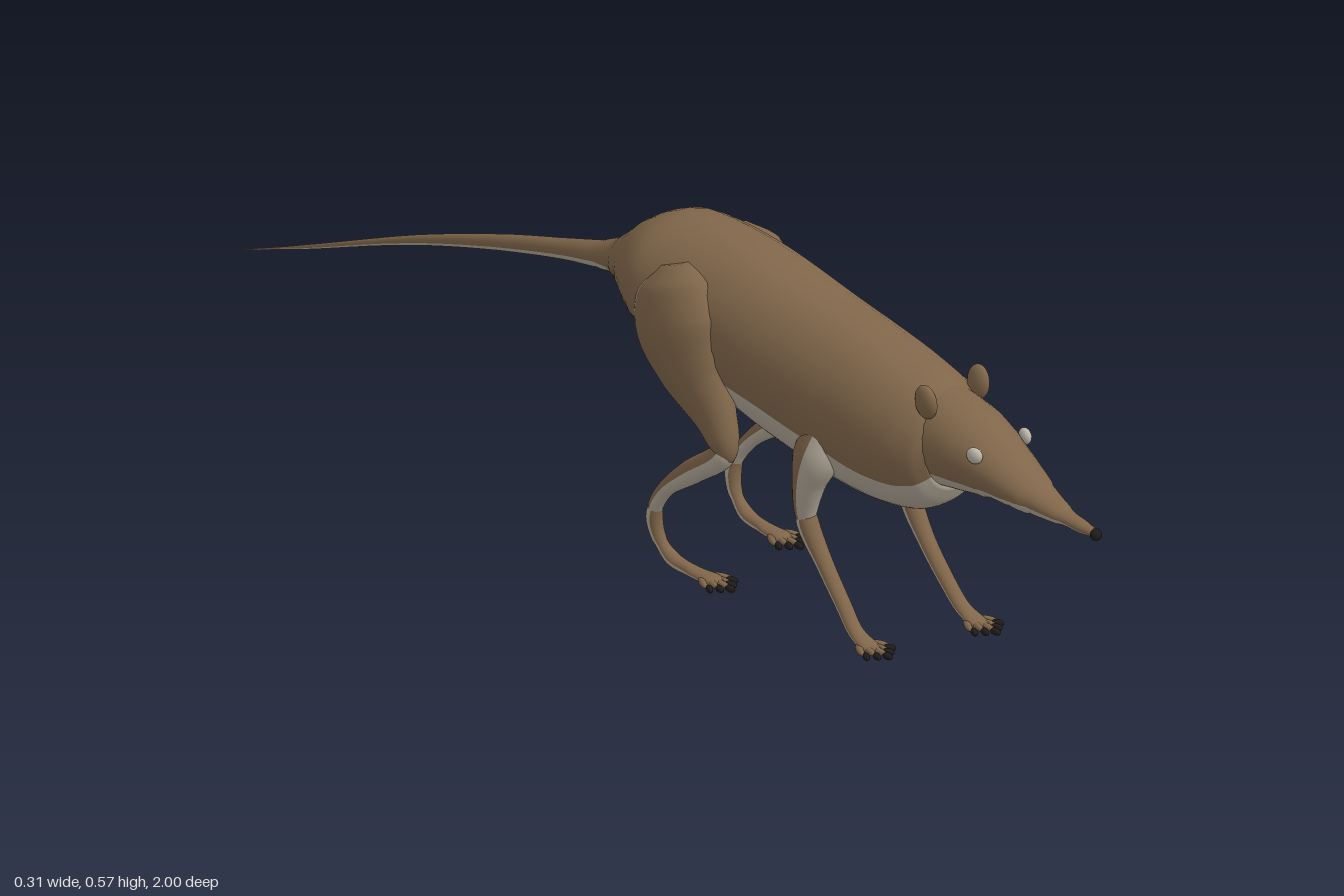
import * as THREE from 'three';

const fur = new THREE.MeshStandardMaterial({ color: 0x80664a });
fur.name = 'brownFur';
const pale = new THREE.MeshStandardMaterial({ color: 0xb3a999 });
pale.name = 'paleUnderside';
const dark = new THREE.MeshStandardMaterial({ color: 0x1f1c1b });
dark.name = 'darkHorn';
const eyeMat = new THREE.MeshStandardMaterial({ color: 0xbdb6ab });
eyeMat.name = 'paleEye';

// Smooth loft through rows [x, y, z, halfWidth, halfDepth, seamAngle].
// Fur covers the arc above the seam angle, the pale colour covers the rest.
function loft(name, rows, { upright = false, flip = false, steps = 5, seg = 14 } = {}) {
  const centre = new THREE.CatmullRomCurve3(rows.map(r => new THREE.Vector3(r[0], r[1], r[2])));
  const size = new THREE.CatmullRomCurve3(rows.map(r => new THREE.Vector3(r[3], r[4], r[5])));
  const n = (rows.length - 1) * steps, ring = seg * 2;
  const pos = [], top = [], under = [];
  for (let i = 0; i <= n; i++) {
    const c = centre.getPoint(i / n), s = size.getPoint(i / n);
    const t = centre.getTangent(i / n);
    const v = upright ? new THREE.Vector3(0, 1, 0) : new THREE.Vector3(0, t.z, -t.y).normalize();
    if (flip) v.negate();
    for (let k = 0; k < ring; k++) {
      const a = k < seg
        ? s.z + (Math.PI - 2 * s.z) * k / seg
        : Math.PI - s.z + (Math.PI + 2 * s.z) * (k - seg) / seg;
      const cs = Math.cos(a) * Math.max(s.x, 0.0005), sn = Math.sin(a) * Math.max(s.y, 0.0005);
      pos.push(c.x + cs, c.y + v.y * sn, c.z + v.z * sn);
    }
  }
  const tri = (list, a, b, c) => flip ? list.push(a, c, b) : list.push(a, b, c);
  for (let i = 0; i < n; i++) for (let k = 0; k < ring; k++) {
    const list = k < seg ? top : under;
    const a = i * ring + k, b = i * ring + (k + 1) % ring;
    tri(list, a, b, b + ring);
    tri(list, a, b + ring, a + ring);
  }
  // end caps
  [0, n].forEach(i => {
    const c = centre.getPoint(i / n), m = pos.length / 3;
    pos.push(c.x, c.y, c.z);
    for (let k = 0; k < ring; k++) {
      const a = i * ring + k, b = i * ring + (k + 1) % ring;
      const list = k < seg ? top : under;
      if (i === 0) tri(list, m, b, a); else tri(list, m, a, b);
    }
  });
  const g = new THREE.BufferGeometry();
  g.setAttribute('position', new THREE.Float32BufferAttribute(pos, 3));
  g.setIndex([...top, ...under]);
  g.addGroup(0, top.length, 0);
  g.addGroup(top.length, under.length, 1);
  g.computeVertexNormals();
  const mesh = new THREE.Mesh(g, [fur, pale]);
  mesh.name = name;
  return mesh;
}

// Profile row [z, top, bottom, halfWidth, seamHeight] to loft row
const section = ([z, top, bot, w, seam]) => {
  const y = (top + bot) / 2, h = (top - bot) / 2;
  return [0, y, z, w, h, Math.asin(THREE.MathUtils.clamp((seam - y) / h, -0.9, 0.9))];
};

function ball(name, mat, x, y, z, rx, ry, rz) {
  const m = new THREE.Mesh(new THREE.SphereGeometry(1, 16, 12), mat);
  m.name = name;
  m.position.set(x, y, z);
  m.scale.set(rx, ry, rz);
  return m;
}

// Fan of toes ending in dark claws
function toes(x, z, count, spread) {
  const g = new THREE.Group();
  g.name = 'toes';
  for (let i = 0; i < count; i++) {
    const f = count > 1 ? i / (count - 1) * 2 - 1 : 0;
    const back = Math.abs(f) * 0.022;
    const toe = ball('toe', fur, x + f * spread * 0.75, 0.011, z - 0.032 - back, 0.006, 0.006, 0.02);
    toe.rotation.y = f * 0.5;
    const claw = ball('claw', dark, x + f * spread, 0.009, z - 0.01 - back, 0.0055, 0.006, 0.011);
    claw.rotation.y = f * 0.5;
    g.add(toe, claw);
  }
  return g;
}

export function createModel() {
  const model = new THREE.Group();
  model.name = 'longNosedMammal';

  // Trunk running into the tail, from tail tip to neck
  model.add(loft('bodyAndTail', [
    [-1.0, 0.171, 0.169, 0.001, 0.17], [-0.86, 0.224, 0.216, 0.003, 0.219],
    [-0.6, 0.327, 0.309, 0.008, 0.315], [-0.4, 0.394, 0.366, 0.013, 0.375],
    [-0.24, 0.439, 0.402, 0.018, 0.415], [-0.16, 0.462, 0.415, 0.024, 0.432],
    [-0.1, 0.497, 0.415, 0.045, 0.432], [-0.05, 0.538, 0.4, 0.08, 0.425],
    [0.0, 0.566, 0.378, 0.112, 0.412], [0.08, 0.578, 0.342, 0.125, 0.4],
    [0.2, 0.572, 0.298, 0.122, 0.38], [0.32, 0.549, 0.264, 0.12, 0.36],
    [0.44, 0.525, 0.24, 0.117, 0.335], [0.54, 0.502, 0.235, 0.114, 0.315],
    [0.61, 0.483, 0.245, 0.105, 0.312], [0.65, 0.466, 0.268, 0.09, 0.32],
    [0.67, 0.445, 0.3, 0.07, 0.335],
  ].map(section), { upright: true, seg: 20 }));

  // Head tapering to a long snout
  model.add(loft('head', [
    [0.6, 0.472, 0.3, 0.076, 0.34], [0.66, 0.465, 0.302, 0.075, 0.342],
    [0.71, 0.452, 0.308, 0.071, 0.343], [0.76, 0.43, 0.313, 0.062, 0.342],
    [0.81, 0.398, 0.315, 0.05, 0.34], [0.86, 0.368, 0.315, 0.034, 0.337],
    [0.91, 0.347, 0.314, 0.022, 0.328], [0.96, 0.334, 0.313, 0.013, 0.32],
    [0.988, 0.328, 0.314, 0.008, 0.317],
  ].map(section), { upright: true, seg: 16 }));
  model.add(ball('noseTip', dark, 0, 0.32, 0.99, 0.01, 0.01, 0.01));

  for (const side of [1, -1]) {
    const label = side > 0 ? 'left' : 'right';
    const put = (rows, dz) => rows.map(([x, y, z, ...rest]) => [x * side, y, z + dz, ...rest]);

    // Ear and eye
    const ear = ball(label + 'Ear', fur, side * 0.058, 0.462, 0.655, 0.013, 0.03, 0.023);
    ear.rotation.z = -side * 0.08;
    model.add(ear);
    const eye = ball(label + 'Eye', eyeMat, side * 0.056, 0.403, 0.766, 0.009, 0.014, 0.015);
    eye.rotation.y = side * -0.2;
    model.add(eye);

    // Front leg
    const fz = side > 0 ? 0 : -0.05;
    const front = new THREE.Group();
    front.name = label + 'FrontLeg';
    front.add(
      loft('upperArm', put([
        [0.085, 0.36, 0.5, 0.025, 0.03, 0], [0.093, 0.31, 0.488, 0.034, 0.042, 0],
        [0.096, 0.255, 0.472, 0.028, 0.028, 0], [0.092, 0.2, 0.46, 0.019, 0.019, 0],
        [0.091, 0.175, 0.462, 0.013, 0.013, 0],
      ], fz), { flip: true }),
      loft('forearm', put([
        [0.091, 0.215, 0.457, 0.012, 0.012, 0], [0.091, 0.18, 0.464, 0.018, 0.019, 0],
        [0.09, 0.12, 0.502, 0.015, 0.014, 0], [0.092, 0.06, 0.55, 0.014, 0.012, 0],
        [0.095, 0.027, 0.58, 0.014, 0.011, 0], [0.096, 0.013, 0.612, 0.017, 0.008, 0],
        [0.096, 0.011, 0.632, 0.01, 0.005, 0],
      ], fz)),
      toes(side * 0.096, 0.665 + fz, 5, 0.026));
    model.add(front);

    // Hind leg
    const hz = side > 0 ? 0 : 0.045;
    const hind = new THREE.Group();
    hind.name = label + 'HindLeg';
    hind.add(
      loft('thigh', put([
        [0.085, 0.535, 0.055, 0.02, 0.03, -0.8], [0.095, 0.505, 0.065, 0.046, 0.075, -0.8],
        [0.1, 0.44, 0.085, 0.057, 0.095, -0.8], [0.106, 0.375, 0.125, 0.046, 0.075, -0.8],
        [0.114, 0.315, 0.178, 0.031, 0.043, -0.7], [0.118, 0.268, 0.205, 0.021, 0.024, -0.6],
        [0.118, 0.245, 0.207, 0.012, 0.014, -0.6],
      ], hz)),
      loft('shank', put([
        [0.118, 0.275, 0.214, 0.014, 0.014, 0.1], [0.119, 0.25, 0.197, 0.02, 0.022, 0.1],
        [0.12, 0.2, 0.128, 0.018, 0.021, 0.1], [0.116, 0.15, 0.066, 0.014, 0.014, 0.1],
        [0.111, 0.11, 0.036, 0.013, 0.013, 0.1], [0.109, 0.09, 0.03, 0.01, 0.01, 0.1],
      ], hz), { flip: true }),
      loft('hindFoot', put([
        [0.111, 0.118, 0.038, 0.01, 0.01, 0.2], [0.109, 0.085, 0.03, 0.014, 0.014, 0.2],
        [0.106, 0.05, 0.038, 0.012, 0.012, 0.2], [0.103, 0.022, 0.066, 0.013, 0.012, 0.1],
        [0.1, 0.013, 0.115, 0.014, 0.009, 0], [0.098, 0.012, 0.155, 0.017, 0.008, 0],
        [0.098, 0.011, 0.172, 0.01, 0.005, 0],
      ], hz)),
      toes(side * 0.098, 0.205 + hz, 5, 0.025));
    model.add(hind);
  }
  return model;
}
